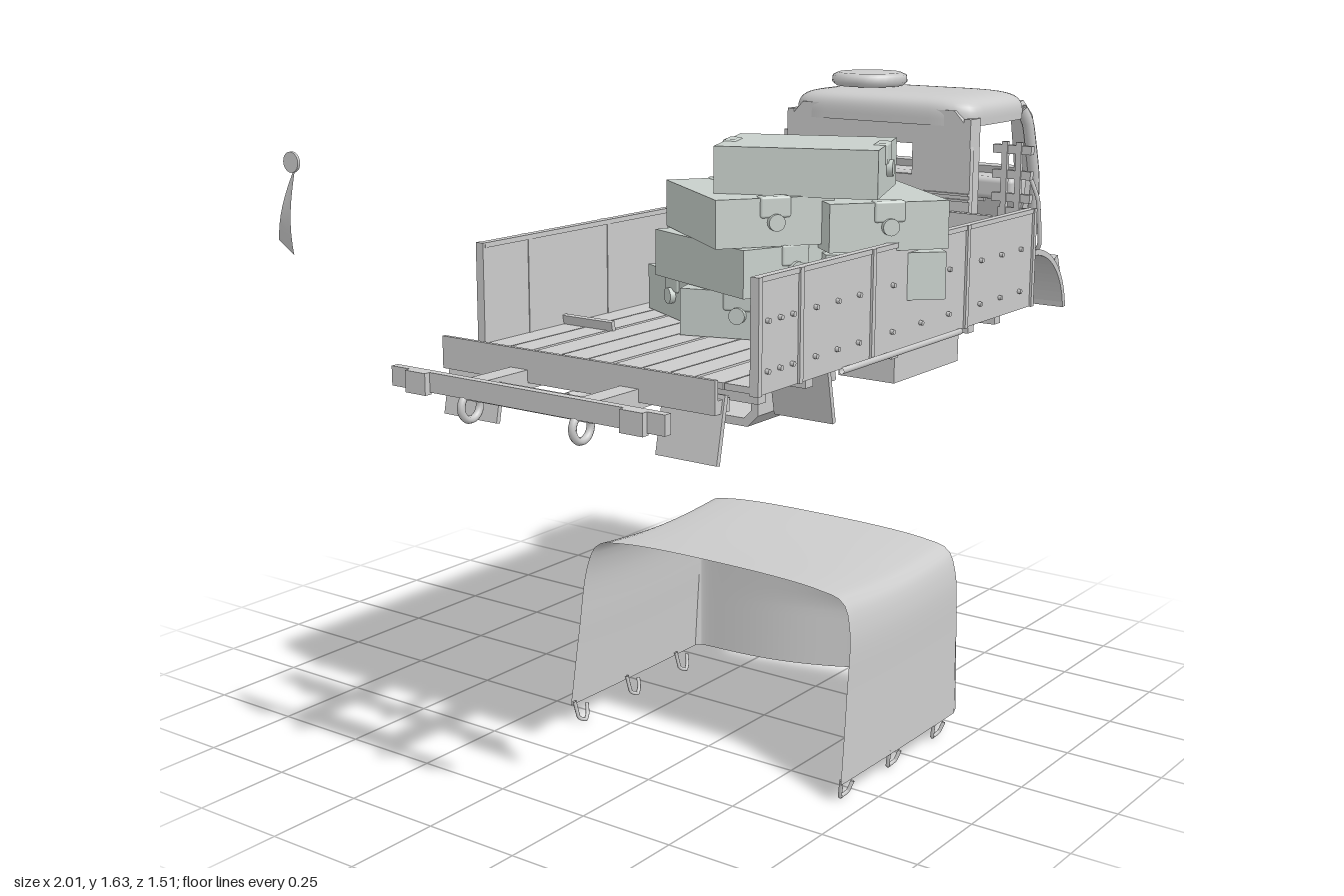
import * as THREE from 'three';
import { RoundedBoxGeometry } from 'three/addons/geometries/RoundedBoxGeometry.js';

const grey = new THREE.MeshStandardMaterial({ color: 0xcccccc, side: THREE.DoubleSide });
const crateMat = new THREE.MeshStandardMaterial({ color: 0xc8d0cb });
const V = (x, y, z) => new THREE.Vector3(x, y, z);

function add(parent, name, geo, x = 0, y = 0, z = 0, rx = 0, ry = 0, rz = 0, mat = grey) {
  const m = new THREE.Mesh(geo, mat);
  m.name = name;
  m.position.set(x, y, z);
  m.rotation.set(rx, ry, rz);
  parent.add(m);
  return m;
}
// Box given by its min and max on every axis
const span = (p, name, x0, x1, y0, y1, z0, z1) =>
  add(p, name, new THREE.BoxGeometry(x1 - x0, y1 - y0, z1 - z0), (x0 + x1) / 2, (y0 + y1) / 2, (z0 + z1) / 2);
const tube = (p, name, pts, r) =>
  add(p, name, new THREE.TubeGeometry(new THREE.CatmullRomCurve3(pts, false, 'catmullrom', 0.2), 24, r, 8));
const poly = pts => new THREE.Shape(pts.map(q => new THREE.Vector2(...q)));
const extrude = (shape, depth) => new THREE.ExtrudeGeometry(shape, { depth, bevelEnabled: false, curveSegments: 12 });
const cyl = (r, h, n = 20) => new THREE.CylinderGeometry(r, r, h, n);
const rectHole = (x0, x1, y0, y1) => poly([[x0, y0], [x0, y1], [x1, y1], [x1, y0]]);

// Smooth sheet: f(u, v) gives each point, u and v from 0 to 1
function sheet(nu, nv, f) {
  const g = new THREE.PlaneGeometry(1, 1, nu, nv), p = g.attributes.position;
  for (let i = 0; i < p.count; i++) p.setXYZ(i, ...f(p.getX(i) + 0.5, 0.5 - p.getY(i)));
  g.computeVertexNormals();
  return g;
}

function chassis(t) {
  const rail = poly([[-0.96, 1.02], [-0.67, 1.02], [-0.6, 1.0], [0, 0.985], [0.25, 0.965], [0.4, 0.975], [0.55, 1.02], [0.93, 1.025],
    [0.93, 1.06], [0.5, 1.06], [-0.96, 1.065]]);
  for (const s of [-1, 1]) {
    add(t, 'chassisRail', extrude(rail, 0.05), 0, 0, s * 0.155 - 0.025);
    // Mud flaps, tow hooks and leaf springs
    add(t, 'rearMudFlap', new THREE.BoxGeometry(0.012, 0.15, 0.16), -0.785, 1.0, s * 0.305, 0, 0, -0.2);
    add(t, 'middleMudFlap', new THREE.BoxGeometry(0.012, 0.17, 0.16), -0.365, 1.01, s * 0.305, 0, 0, 0.2);
    add(t, 'towHook', new THREE.TorusGeometry(0.03, 0.009, 8, 16, 4.2), -0.965, 1.01, s * 0.155, 0, 0, 2.4);
    add(t, 'frontHook', new THREE.TorusGeometry(0.025, 0.009, 8, 16, 4.2), 0.86, 0.99, s * 0.16, 0, 0, 2.4);
    for (const x of [-0.3, 0.4]) {
      tube(t, 'leafSpring', [V(x - 0.15, 1.03, s * 0.2), V(x, 1.0, s * 0.2), V(x + 0.15, 1.03, s * 0.2)], 0.01);
      span(t, 'springBracket', x - 0.02, x + 0.02, 0.975, 1.04, s * 0.2 - 0.02, s * 0.2 + 0.02);
    }
    span(t, 'tailLamp', -0.985, -0.965, 1.02, 1.07, s * 0.3 - 0.03, s * 0.3 + 0.03);
  }
  for (const [x, w] of [[-0.92, 0.045], [-0.575, 0.035], [-0.365, 0.04], [0.06, 0.04], [0.32, 0.04], [0.7, 0.05]])
    span(t, 'crossMember', x - w / 2, x + w / 2, 1.015, 1.055, -0.155, 0.155);
  span(t, 'tailBeam', -0.97, -0.95, 1.025, 1.07, -0.385, 0.375);
  span(t, 'lampBeam', -0.805, -0.752, 1.035, 1.065, -0.385, 0.38);
  span(t, 'lampBeamFace', -0.805, -0.795, 1.035, 1.11, -0.385, 0.38);
  // Rounded cradle under the rails
  const cradle = poly([[-0.14, 1.03], [-0.14, 0.9], [-0.11, 0.87], [0.11, 0.87], [0.14, 0.9], [0.14, 1.03],
    [0.12, 1.03], [0.12, 0.91], [0.1, 0.89], [-0.1, 0.89], [-0.12, 0.91], [-0.12, 1.03]]);
  add(t, 'cradle', extrude(cradle, 0.31).rotateY(Math.PI / 2), -0.31, 0, 0.01);
  // Drivetrain between the rails
  add(t, 'gearbox', new RoundedBoxGeometry(0.2, 0.1, 0.13, 2, 0.025), 0.1, 0.97, 0);
  add(t, 'driveShaft', cyl(0.015, 0.85), -0.4, 1.02, 0, 0, 0, Math.PI / 2);
  add(t, 'exhaustPipe', cyl(0.014, 0.5), 0.38, 1.02, -0.08, 0, 0, Math.PI / 2);
  add(t, 'engineBlock', new RoundedBoxGeometry(0.24, 0.12, 0.22, 2, 0.02), 0.7, 1.09, 0);
  add(t, 'gearLink', cyl(0.014, 0.1), 0.14, 0.94, 0.06, 0, 0, 0.2);
  // Lockers and the open carrier under the bed
  span(t, 'sideLocker', -0.07, 0.24, 0.965, 1.05, 0.22, 0.375);
  for (const y of [0.95, 1.03]) for (const z of [-0.37, -0.25]) span(t, 'carrierBar', -0.3, -0.04, y, y + 0.015, z, z + 0.015);
  for (const x of [-0.3, -0.17, -0.055]) {
    span(t, 'carrierPost', x, x + 0.015, 0.94, 1.06, -0.37, -0.355);
    span(t, 'carrierFoot', x, x + 0.015, 0.95, 0.965, -0.37, -0.235);
  }
}

function cargoBed(t) {
  for (let i = 0; i < 10; i++) {
    const z = -0.385 + i * 0.077, x1 = i === 0 || i === 9 ? 0.59 : 0.44;
    span(t, 'floorPlank', -0.67, x1, 1.055, 1.07, z, z + (i % 3 === 1 ? 0.066 : 0.074));
  }
  for (const x of [-0.655, -0.47, -0.1, 0.27, 0.41]) span(t, 'floorBearer', x, x + 0.03, 1.03, 1.057, -0.385, 0.385);
  for (const x of [0.27, 0.315]) span(t, 'floorStrip', x, x + 0.02, 1.068, 1.082, -0.385, 0.385);
  span(t, 'headboard', 0.42, 0.44, 1.05, 1.305, -0.385, 0.385);
  const edges = [-0.665, -0.505, -0.205, 0.24, 0.595];
  for (const s of [-1, 1]) {
    for (let i = 0; i < 4; i++) {
      const a = edges[i], b = edges[i + 1];
      add(t, 'sidePanel', new THREE.BoxGeometry(b - a - 0.006, 0.255, 0.014), (a + b) / 2, 1.178, s * 0.384);
      for (const y of [1.1, 1.21]) for (const f of [0.2, 0.5, 0.8])
        add(t, 'panelBolt', cyl(0.006, 0.012, 8), a + (b - a) * f, y, s * 0.394, Math.PI / 2);
    }
    for (const x of edges) span(t, 'panelPost', x - 0.007, x + 0.007, 1.05, 1.307, s * 0.386 - 0.011, s * 0.386 + 0.011);
    span(t, 'panelTopRail', -0.665, 0.595, 1.295, 1.307, s * 0.384 - 0.01, s * 0.384 + 0.01);
    tube(t, 'bowedStrap', [V(-0.33, 1.045, s * 0.39), V(-0.27, 1.05, s * 0.402), V(0.15, 1.05, s * 0.402), V(0.22, 1.045, s * 0.39)], 0.008);
    // Wing boards and racks beside the cab
    const z0 = s > 0 ? 0.29 : -0.385;
    span(t, 'wingBoard', 0.588, 0.6, 1.05, 1.305, z0, z0 + 0.095);
    for (const z of [0.345, 0.305]) span(t, 'rackPost', 0.585, 0.597, 1.25, 1.475, s * z - 0.008, s * z + 0.008);
    for (const y of [1.455, 1.39, 1.33]) span(t, 'rackSlat', 0.588, 0.605, y - 0.011, y + 0.011, s * 0.325 - 0.055, s * 0.325 + 0.055);
  }
}

function cab(t) {
  // Back wall with its window
  const back = poly([[-0.28, 1.05], [0.28, 1.05], [0.28, 1.46], [0.268, 1.52], [0.23, 1.56], [-0.23, 1.56], [-0.268, 1.52], [-0.28, 1.46]]);
  back.holes.push(rectHole(-0.11, 0.11, 1.39, 1.47));
  add(t, 'backWall', extrude(back, 0.018).rotateY(Math.PI / 2), 0.448, 0, 0);
  for (const y of [1.33, 1.345]) span(t, 'backWallRib', 0.44, 0.452, y, y + 0.006, -0.28, 0.28);
  // Domed roof and hatch
  add(t, 'roof', sheet(32, 32, (u, v) => {
    const a = u * 2 * Math.PI, e = q => Math.sign(q) * Math.abs(q) ** 0.35, w = Math.min(1, v * 1.25), k = Math.sin(w * Math.PI / 2);
    const r = v < 0.8 ? k : 1;
    const y = v < 0.8 ? 1.54 + 0.055 * (1 - w ** 4.5) : 1.54 - (v - 0.8) * 0.1;
    return [0.617 + 0.174 * r * e(Math.cos(a)), y, 0.28 * r * e(Math.sin(a))];
  }));
  add(t, 'roofHatch', new THREE.LatheGeometry([[0, 0.035], [0.085, 0.035], [0.1, 0.028], [0.102, 0.01], [0.09, 0]]
    .map(q => new THREE.Vector2(...q)), 32), 0.625, 1.597, -0.13);
  // Windscreen frame, leaning back
  const screen = poly([[-0.282, 0], [0.282, 0], [0.275, 0.17], [0.25, 0.21], [-0.25, 0.21], [-0.275, 0.17]]);
  for (const s of [-1, 1]) screen.holes.push(rectHole(Math.min(s * 0.03, s * 0.22), Math.max(s * 0.03, s * 0.22), 0.025, 0.18));
  add(t, 'windscreenFrame', extrude(screen, 0.02).rotateY(Math.PI / 2), 0.815, 1.355, 0, 0, 0, 0.22);
  // Rounded nose, narrowing downward
  add(t, 'nose', sheet(32, 8, (u, v) => {
    const a = (u - 0.5) * Math.PI, s = Math.sin(a), w = 0.277 - 0.055 * v;
    const front = 0.84 + 0.085 * v ** 1.2, rear = 0.77 + 0.06 * v;
    return [rear + (front - rear) * Math.cos(a) ** 0.4, 1.37 - 0.33 * v, Math.sign(s) * w * Math.abs(s) ** 0.45];
  }));
  add(t, 'dashboard', new RoundedBoxGeometry(0.1, 0.06, 0.52, 2, 0.015), 0.775, 1.33, 0);
  span(t, 'cabFloor', 0.46, 0.86, 1.1, 1.115, -0.26, 0.26);
  // Raised nose flap over the open grille
  const grille = poly([[-0.11, 0], [0.11, 0], [0.1, 0.085], [-0.1, 0.085]]);
  grille.holes.push(rectHole(-0.085, 0.085, 0.015, 0.065));
  add(t, 'grilleFrame', extrude(grille, 0.05).rotateY(Math.PI / 2), 0.85, 1.275, 0);
  add(t, 'grilleFlap', new THREE.BoxGeometry(0.11, 0.012, 0.21), 0.865, 1.352, 0, 0, 0, 0.05);
  add(t, 'noseCover', new RoundedBoxGeometry(0.03, 0.05, 0.2, 2, 0.014), 0.92, 1.12, 0, 0, 0, 0.2);
  // Tube guard, bumper and winch
  tube(t, 'tubeGuard', [V(0.89, 1.14, -0.16), V(0.985, 1.21, -0.16), V(0.99, 1.213, -0.14), V(0.99, 1.213, 0.14), V(0.985, 1.21, 0.16), V(0.89, 1.14, 0.16)], 0.011);
  tube(t, 'noseRail', [V(0.88, 1.16, -0.18), V(0.92, 1.2, -0.17), V(0.92, 1.2, 0.17), V(0.88, 1.16, 0.18)], 0.008);
  span(t, 'bumper', 0.88, 0.945, 1.04, 1.09, -0.2, 0.2);
  span(t, 'bumperLip', 0.89, 0.945, 1.01, 1.025, -0.14, 0.14);
  add(t, 'winchDrum', cyl(0.025, 0.18), 0.9, 0.99, 0, Math.PI / 2);
  for (const s of [-1, 1]) {
    span(t, 'rearPillar', 0.448, 0.5, 1.05, 1.54, s * 0.268 - 0.01, s * 0.268 + 0.01);
    span(t, 'pillarBase', 0.448, 0.6, 1.05, 1.13, s * 0.268 - 0.01, s * 0.268 + 0.01);
    tube(t, 'frontPillar', [V(0.76, 1.545, s * 0.26), V(0.785, 1.5, s * 0.27), V(0.825, 1.36, s * 0.272), V(0.86, 1.2, s * 0.258)], 0.016);
    tube(t, 'grabRail', [V(0.78, 1.36, s * 0.285), V(0.79, 1.3, s * 0.305), V(0.81, 1.18, s * 0.305), V(0.82, 1.14, s * 0.28)], 0.006);
    add(t, 'noseLamp', cyl(0.033, 0.035), 0.9, 1.245, s * 0.18, 0, 0, Math.PI / 2);
    span(t, 'wiper', 0.82, 0.835, 1.37, 1.376, s * 0.13 - 0.09, s * 0.13 + 0.09);
    span(t, 'screenHinge', 0.79, 0.805, 1.54, 1.55, s * 0.2 - 0.015, s * 0.2 + 0.015);
    span(t, 'bumperFoot', 0.84, 0.9, 0.97, 1.05, s * 0.17 - 0.015, s * 0.17 + 0.015);
    // Seats
    add(t, 'seat', new RoundedBoxGeometry(0.15, 0.06, 0.2, 2, 0.02), 0.575, 1.2, s * 0.14);
    add(t, 'seatBack', new RoundedBoxGeometry(0.045, 0.15, 0.2, 2, 0.02), 0.5, 1.28, s * 0.14, 0, 0, 0.1);
    // Arched fender with its front plate and headlamp
    const arch = (outer, inner) => {
      const a = new THREE.Shape();
      a.absarc(0.67, 0.985, outer, 0.1, 2.0, false);
      a.absarc(0.67, 0.985, inner, 2.0, 0.1, true);
      return a;
    };
    add(t, 'fender', extrude(arch(0.2, 0.185), 0.14), 0, 0, s > 0 ? 0.22 : -0.36);
    add(t, 'fenderInner', extrude(arch(0.19, 0.13), 0.01), 0, 0, s * 0.225);
    add(t, 'fenderFront', new THREE.BoxGeometry(0.02, 0.13, 0.12), 0.845, 1.085, s * 0.29, 0, 0, 0.35);
    add(t, 'headlamp', cyl(0.038, 0.03), 0.857, 1.105, s * 0.275, 0, 0, Math.PI / 2);
  }
}

// Stacked crates: x, y, z, turn, tilt
function crates(root) {
  const list = [[-0.095, 1.467, 0.42, -1.18], [-0.165, 1.357, 0.3, 0.94], [0.01, 1.345, 0.515, 0.87], [0.05, 1.262, 0.155, -0.7, -0.9],
    [0.05, 1.22, 0.5, 0.8], [-0.16, 1.243, 0.3, 1.2], [-0.1, 1.128, 0.3, 0.3], [0.1, 1.128, 0.44, 1.35], [0.0, 1.128, 0.17, -0.5]];
  for (const [x, y, z, ry, rx = 0] of list) {
    const c = new THREE.Group();
    c.name = 'crate';
    c.position.set(x, y, z);
    c.rotation.set(rx, ry, 0, 'YXZ');
    add(c, 'crateBody', new THREE.BoxGeometry(0.385, 0.113, 0.29), 0, 0, 0, 0, 0, 0, crateMat);
    for (const s of [-1, 1]) {
      add(c, 'latchPlate', new RoundedBoxGeometry(0.035, 0.05, 0.075, 2, 0.006), s * 0.18, 0.035, 0, 0, 0, 0, crateMat);
      add(c, 'latchKnob', cyl(0.02, 0.02, 16), s * 0.197, 0, 0, 0, 0, Math.PI / 2, crateMat);
    }
    root.add(c);
  }
}

// Separate canvas cover, open at the rear and draped at the front
function cover(root) {
  const g = new THREE.Group();
  g.name = 'canvasCover';
  g.position.z = 0.29;
  const half = [[0.412, 0.05], [0.405, 0.25], [0.395, 0.42], [0.37, 0.478], [0.3, 0.495]];
  const profile = new THREE.CatmullRomCurve3([...half.map(([z, y]) => V(-z, y, 0)), V(0, 0.505, 0),
    ...half.slice().reverse().map(([z, y]) => V(z, y, 0))]);
  add(g, 'coverShell', sheet(72, 16, (u, v) => {
    const p = profile.getPointAt(u), h = p.y / 0.5, x0 = -0.352 + 0.072 * h, x1 = 0.2 + 0.02 * h;
    return [x0 + (x1 - x0) * v, p.y - 0.015 * h * Math.sin(Math.PI * v), p.x];
  }));
  add(g, 'coverDrape', sheet(72, 20, (u, v) => {
    const p = profile.getPointAt(u), z = p.x, hem = 0.05 + 0.05 * Math.exp(-(((z - 0.2) / 0.1) ** 2));
    const y = p.y + (Math.min(hem, p.y) - p.y) * v, bulge = Math.exp(-(((z - 0.16) / (z < 0.16 ? 0.25 : 0.16)) ** 2));
    return [0.2 + 0.04 * p.y + 0.12 * bulge * Math.min(1, (p.y - y) / 0.28), y, z];
  }));
  for (const s of [-1, 1]) for (const x of [-0.31, -0.09, 0.13])
    tube(g, 'coverHook', [V(x - 0.025, 0.06, s * 0.408), V(x - 0.018, 0.015, s * 0.4), V(x, 0.005, s * 0.392), V(x + 0.018, 0.015, s * 0.4), V(x + 0.025, 0.04, s * 0.408)], 0.005);
  root.add(g);
}

// Loose signal paddle: round head and a widening, bent blade
function paddle(root) {
  add(root, 'paddleHead', cyl(0.026, 0.008), -0.692, 1.453, -0.7, 0, 0, Math.PI / 2);
  add(root, 'paddleBlade', sheet(3, 8, (u, v) => [-0.692 - 0.022 * Math.sin(v * 2.4) + 0.014 * u,
    1.435 - 0.21 * v + 0.03 * u * v, -0.69 - 0.018 * u - v * 0.05 * u]));
}

export function createModel() {
  const root = new THREE.Group();
  root.name = 'truckWithCargoAndCover';
  const truck = new THREE.Group();
  truck.name = 'truck';
  truck.position.z = 0.283;
  root.add(truck);
  chassis(truck);
  cargoBed(truck);
  cab(truck);
  crates(root);
  cover(root);
  paddle(root);
  return root;
}
